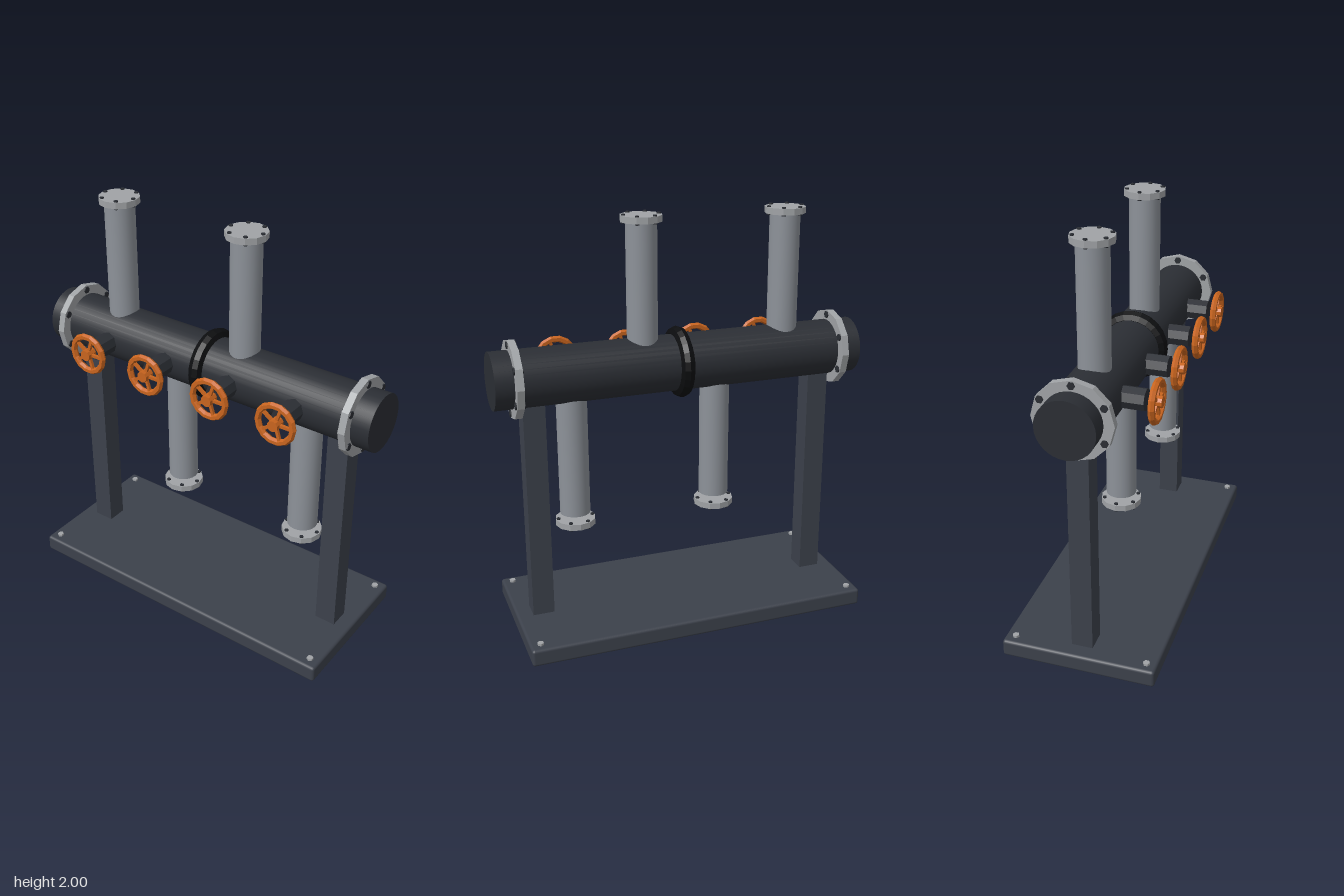
import * as THREE from 'three';
import { RoundedBoxGeometry } from 'three/addons/geometries/RoundedBoxGeometry.js';

const mat = (color, flat = false) => {
  const m = new THREE.MeshStandardMaterial({ color });
  m.flatShading = flat;
  return m;
};
const frameMat = mat(0x3c414b);
const headerMat = mat(0x2b2e34);
const pipeMat = mat(0x8d9299);
const flangeMat = mat(0xa0a3a6, true);
const boltMat = mat(0x2b2e34, true);
const sealMat = mat(0x0c0d0f, true);
const wheelMat = mat(0xc8641e, true);

const AXIS_Y = 1.285; // height of the header pipe

function add(parent, name, geometry, material, x = 0, y = 0, z = 0) {
  const mesh = new THREE.Mesh(geometry, material);
  mesh.name = name;
  mesh.position.set(x, y, z);
  parent.add(mesh);
  return mesh;
}

const cyl = (r, h, sides) => new THREE.CylinderGeometry(r, r, h, sides);

// Disc with a ring of six through bolts, lying flat around the y axis
function flange(name, radius, thickness, boltCircle, boltRadius) {
  const g = new THREE.Group();
  g.name = name;
  add(g, 'flangeDisc', cyl(radius, thickness, 12), flangeMat);
  for (let i = 0; i < 6; i++) {
    const a = (i * Math.PI) / 3;
    add(g, 'flangeBolt', cyl(boltRadius, thickness + 0.012, 6), boltMat,
      Math.cos(a) * boltCircle, 0, Math.sin(a) * boltCircle);
  }
  return g;
}

// Five-spoke handwheel facing +z
function handwheel() {
  const g = new THREE.Group();
  g.name = 'handwheel';
  add(g, 'wheelRim', new THREE.TorusGeometry(0.09, 0.016, 6, 14), wheelMat);
  add(g, 'wheelHub', cyl(0.027, 0.052, 10), wheelMat).rotation.x = Math.PI / 2;
  for (let i = 0; i < 5; i++) {
    const a = (i * Math.PI * 2) / 5;
    const spoke = add(g, 'wheelSpoke', new THREE.BoxGeometry(0.09, 0.014, 0.014), wheelMat,
      Math.cos(a) * 0.045, Math.sin(a) * 0.045, 0);
    spoke.rotation.z = a;
  }
  return g;
}

export function createModel() {
  const model = new THREE.Group();
  model.name = 'pipeManifold';

  // Base plate, its corner bolts and the two posts
  add(model, 'basePlate', new RoundedBoxGeometry(1.7, 0.085, 0.74, 2, 0.014), frameMat, 0, 0.0425, 0);
  for (const sx of [-1, 1]) {
    for (const sz of [-1, 1]) {
      add(model, 'baseBolt', cyl(0.016, 0.03, 6), flangeMat, sx * 0.8, 0.081, sz * 0.32);
    }
    add(model, 'post', new THREE.BoxGeometry(0.105, 1.09, 0.102), frameMat, sx * 0.72, 0.625, 0);
  }

  // Horizontal header pipe with central seal and end flanges
  add(model, 'headerPipe', cyl(0.136, 1.81, 32), headerMat, 0, AXIS_Y, 0).rotation.z = Math.PI / 2;
  const seal = add(model, 'centreSeal', new THREE.TorusGeometry(0.138, 0.034, 8, 24), sealMat, 0, AXIS_Y, 0);
  seal.rotation.y = Math.PI / 2;
  for (const sx of [-1, 1]) {
    const f = flange('endFlange', 0.185, 0.034, 0.162, 0.018);
    f.position.set(sx * 0.8, AXIS_Y, 0);
    f.rotation.z = Math.PI / 2;
    model.add(f);
  }

  // Branch pipes, alternately up and down, each with a valve
  [-0.535, -0.185, 0.18, 0.532].forEach((x, i) => {
    const up = i % 2 === 0;
    const low = up ? AXIS_Y : 0.585;
    const high = up ? 1.97 : AXIS_Y;
    add(model, up ? 'upperBranch' : 'lowerBranch', cyl(0.073, high - low, 24), pipeMat,
      x, (low + high) / 2, 0);
    const f = flange('branchFlange', 0.098, 0.03, 0.084, 0.01);
    f.position.set(x, up ? 1.979 : 0.54, 0);
    model.add(f);

    add(model, 'valveBody', cyl(0.052, 0.135, 8), boltMat, x, AXIS_Y, 0.166).rotation.x = Math.PI / 2;
    const wheel = handwheel();
    wheel.position.set(x, AXIS_Y, 0.279);
    model.add(wheel);
  });

  return model;
}
